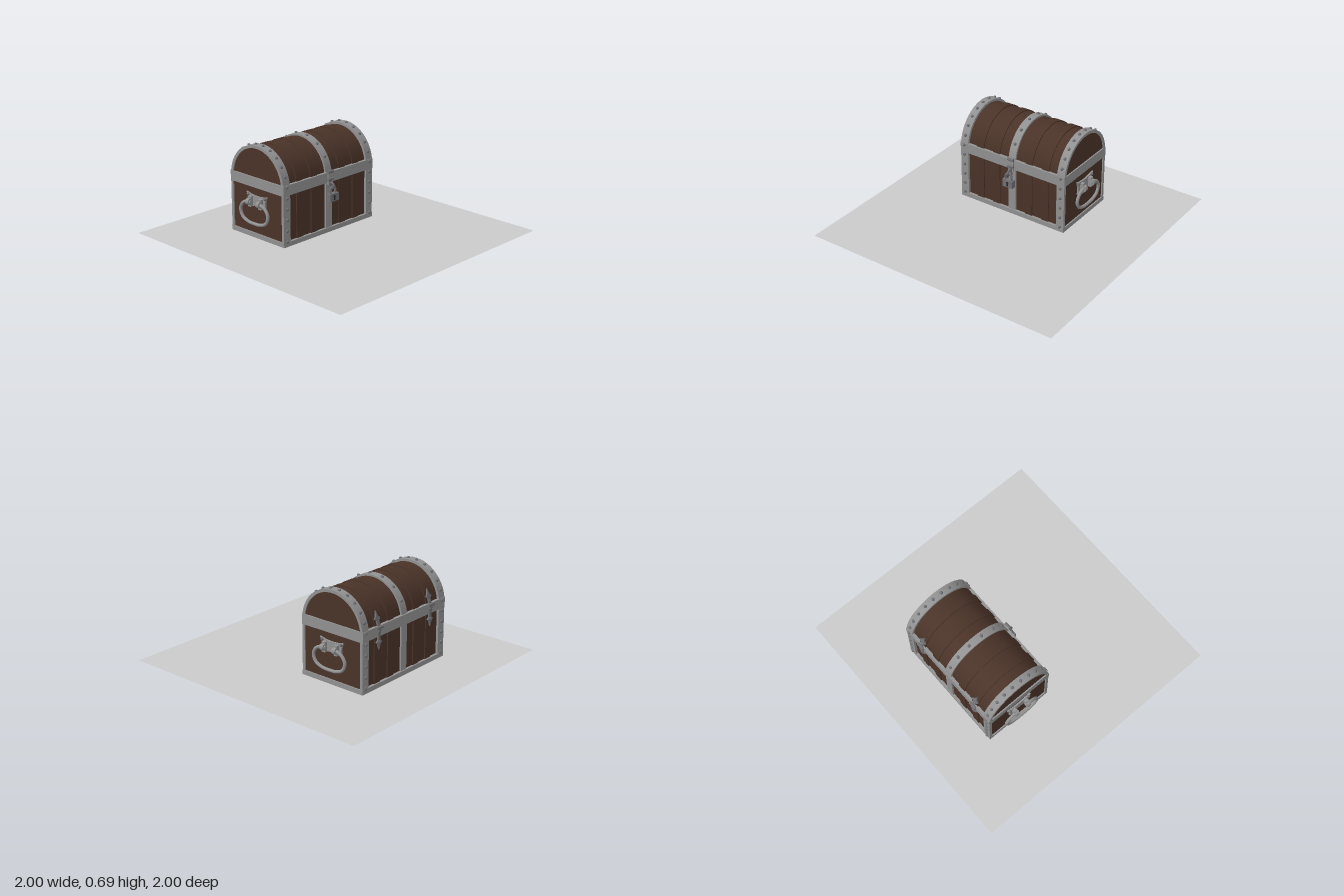
import * as THREE from 'three';
import { toCreasedNormals } from 'three/addons/utils/BufferGeometryUtils.js';

const SPRING = 0.415; // height where the lid arch begins

export function createModel() {
  const mat = (name, color, side = THREE.FrontSide) => {
    const m = new THREE.MeshStandardMaterial({ color, side });
    m.name = name;
    return m;
  };
  const wood = mat('wood', 0x4a3328);
  const iron = mat('iron', 0x929292);
  const darkIron = mat('darkIron', 0x727276);
  const black = mat('keyholeBlack', 0x2c2c2e);
  const floor = mat('plateGrey', 0xcacaca, THREE.DoubleSide);

  const model = new THREE.Group();
  const chest = new THREE.Group();
  chest.name = 'chest';
  chest.position.set(-0.305, 0, 0.035);
  model.add(chest);

  const add = (name, geo, material, x = 0, y = 0, z = 0, parent = chest) => {
    const mesh = new THREE.Mesh(geo, material);
    mesh.name = name;
    mesh.position.set(x, y, z);
    parent.add(mesh);
    return mesh;
  };
  const box = (name, w, h, d, material, x, y, z, parent) =>
    add(name, new THREE.BoxGeometry(w, h, d), material, x, y, z, parent);

  // Flat base the chest stands on
  const plate = add('basePlate', new THREE.PlaneGeometry(2, 2), floor, 0, 0, 0, model);
  plate.rotation.x = -Math.PI / 2;

  // Chest cross-section: straight sides with a half-round top
  const archPath = (path, half, bottom) => {
    path.moveTo(-half, bottom);
    path.lineTo(half, bottom);
    path.lineTo(half, SPRING);
    path.absarc(0, SPRING, half, 0, Math.PI, false);
    path.closePath();
    return path;
  };
  const extrude = (shape, depth) => {
    const geo = new THREE.ExtrudeGeometry(shape, { depth, bevelEnabled: false, curveSegments: 28 });
    geo.translate(0, 0, -depth / 2);
    return toCreasedNormals(geo, 0.5);
  };
  const arch = (name, half, bottom, depth, z, material, innerHalf) => {
    const shape = archPath(new THREE.Shape(), half, bottom);
    if (innerHalf) shape.holes.push(archPath(new THREE.Path(), innerHalf, 0.035));
    return add(name, extrude(shape, depth), material, 0, 0, z);
  };

  // Wooden body and lid, raised planks, iron frames and straps
  arch('woodenBody', 0.25, 0.006, 0.876, 0, wood);
  for (const z of [-0.28, -0.14, 0.14, 0.28]) arch('raisedPlank', 0.258, 0.008, 0.06, z, wood);
  for (const s of [-1, 1]) arch('endFrame', 0.268, 0.002, 0.064, s * 0.415, iron, 0.247);
  arch('centreStrap', 0.263, 0.003, 0.06, 0, iron);
  box('rimBand', 0.54, 0.075, 0.896, iron, 0, 0.412, 0);
  box('bottomBand', 0.54, 0.034, 0.896, iron, 0, 0.018, 0);

  // Rivets: round heads pressed flat along the surface
  const rivetGeo = new THREE.SphereGeometry(0.012, 10, 8);
  const rivet = (x, y, z) => add('rivet', rivetGeo, darkIron, x, y, z);
  const archRivet = (deg, r, z) => {
    const a = THREE.MathUtils.degToRad(deg);
    rivet(Math.sin(a) * r, SPRING + Math.cos(a) * r, z);
  };
  for (const z of [-0.415, 0.415]) {
    for (let i = 0; i < 10; i++) archRivet(-70.2 + i * 15.6, 0.268, z);
    for (const s of [-1, 1])
      for (let i = 0; i < 6; i++) rivet(s * 0.269, 0.04 + i * 0.079, z);
  }
  for (let i = 0; i < 6; i++) archRivet(-62 + i * 24, 0.263, 0);

  // Carrying handle, built for the +z end
  const makeHandle = () => {
    const handle = new THREE.Group();
    handle.name = 'handle';
    const s = new THREE.Shape();
    s.moveTo(-0.105, 0.33);
    s.quadraticCurveTo(0, 0.3, 0.105, 0.33);
    s.quadraticCurveTo(0.075, 0.285, 0.09, 0.228);
    s.quadraticCurveTo(0, 0.25, -0.09, 0.228);
    s.quadraticCurveTo(-0.075, 0.285, -0.105, 0.33);
    add('handlePlate', extrude(s, 0.014), iron, 0, 0, 0.444, handle);
    for (const m of [-1, 1]) {
      box('handleBracket', 0.028, 0.075, 0.03, iron, m * 0.053, 0.272, 0.46, handle);
      const knuckle = add('handleKnuckle', new THREE.CylinderGeometry(0.024, 0.024, 0.028, 14),
        iron, m * 0.053, 0.272, 0.477, handle);
      knuckle.rotation.z = Math.PI / 2;
      for (const [x, y] of [[0.085, 0.315], [0.077, 0.24]])
        add('handleRivet', rivetGeo, darkIron, m * x, y, 0.451, handle);
    }
    const half = [[0.03, 0.272], [0.075, 0.27], [0.115, 0.25], [0.14, 0.205], [0.12, 0.15], [0.065, 0.124]];
    const pts = [...half, [0, 0.119], ...half.slice().reverse().map(([x, y]) => [-x, y])]
      .map(([x, y]) => new THREE.Vector3(x, y, 0.477));
    add('handleRing', new THREE.TubeGeometry(new THREE.CatmullRomCurve3(pts), 56, 0.012, 10),
      iron, 0, 0, 0, handle);
    return handle;
  };
  const nearHandle = makeHandle();
  const farHandle = makeHandle();
  farHandle.rotation.y = Math.PI;
  chest.add(nearHandle, farHandle);

  // Hinges on the -x side: spade-tipped leaves above and below the rim
  const leafShape = new THREE.Shape();
  leafShape.moveTo(-0.012, -0.04);
  [[0.012, -0.04], [0.012, 0.035], [0.03, 0.05], [0.012, 0.065], [0, 0.105],
    [-0.012, 0.065], [-0.03, 0.05], [-0.012, 0.035]].forEach(([x, y]) => leafShape.lineTo(x, y));
  const leafGeo = extrude(leafShape, 0.012);
  leafGeo.rotateY(-Math.PI / 2);
  for (const z of [-0.28, 0.28]) {
    const top = add('upperHingeLeaf', leafGeo, darkIron, -0.265, 0.45, z);
    top.rotation.z = -0.32;
    const low = add('lowerHingeLeaf', leafGeo, darkIron, -0.268, 0.385, z);
    low.rotation.x = Math.PI;
    add('hingePin', new THREE.CylinderGeometry(0.012, 0.012, 0.06, 10), darkIron, -0.274, 0.44, z)
      .rotation.x = Math.PI / 2;
    rivet(-0.236, 0.51, z);
    rivet(-0.27, 0.335, z);
  }

  // Hasp and staple on the +x side
  box('hasp', 0.014, 0.1, 0.044, iron, 0.274, 0.412, 0);
  for (const y of [0.455, 0.4])
    add('haspPin', new THREE.CylinderGeometry(0.011, 0.011, 0.05, 10), darkIron, 0.279, y, 0)
      .rotation.x = Math.PI / 2;
  box('haspTongue', 0.012, 0.06, 0.026, darkIron, 0.277, 0.36, 0);
  add('staple', new THREE.TorusGeometry(0.02, 0.008, 8, 20), darkIron, 0.293, 0.355, 0);

  // Padlock
  box('padlockBody', 0.034, 0.058, 0.086, darkIron, 0.303, 0.274, 0);
  const arc = [];
  for (let i = 0; i <= 8; i++) {
    const a = (i / 8) * Math.PI;
    arc.push(new THREE.Vector3(0, 0.03 + Math.sin(a) * 0.025, Math.cos(a) * 0.025));
  }
  const shacklePath = new THREE.CatmullRomCurve3(
    [new THREE.Vector3(0, 0, 0.025), ...arc, new THREE.Vector3(0, 0, -0.025)]);
  add('shackle', new THREE.TubeGeometry(shacklePath, 24, 0.008, 8), darkIron, 0.303, 0.298, 0);
  const keyhole = new THREE.Shape();
  keyhole.moveTo(-0.009, -0.018);
  keyhole.lineTo(0.009, -0.018);
  keyhole.lineTo(0.005, 0.002);
  keyhole.absarc(0, 0.008, 0.009, -0.8, Math.PI + 0.8, false);
  keyhole.lineTo(-0.005, 0.002);
  const keyGeo = extrude(keyhole, 0.004);
  keyGeo.rotateY(Math.PI / 2);
  add('keyhole', keyGeo, black, 0.32, 0.274, 0);

  return model;
}
